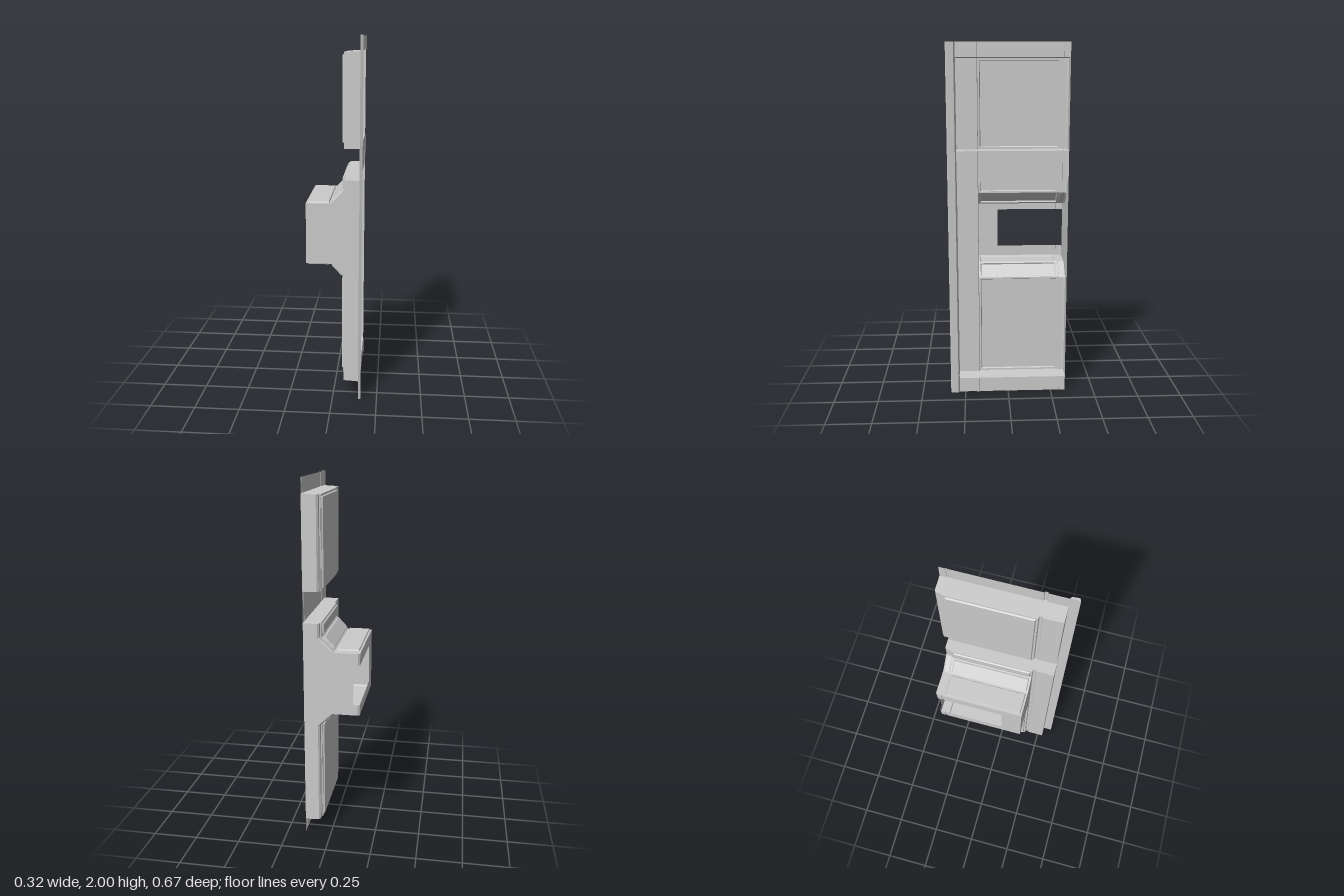
import * as THREE from 'three';

const material = new THREE.MeshStandardMaterial({ color: 0xcccccc, flatShading: true, side: THREE.DoubleSide });
const RIM = 0.145; // x of the mounting plane

// Main pressing outline as [x, y, panel?]; panel marks a raised panel up to the next point
const MAIN = [
  [RIM, 0], [RIM, 0.085], [0.05, 0.09, true], [0.05, 0.67, true], [-0.02, 0.745, true],
  [-0.162, 0.745], [-0.162, 0.805], [-0.162, 1.03], [-0.162, 1.095, true],
  [-0.02, 1.095, true], [0.05, 1.17, true], [0.05, 1.25], [RIM, 1.25],
  [RIM, 1.42], [0.05, 1.42, true], [0.05, 1.915], [RIM, 1.92], [RIM, 2],
];
// Side channel outline
const CHANNEL = [
  [RIM, 0], [RIM, 0.085], [0.06, 0.09], [0.06, 1.25], [RIM, 1.25],
  [RIM, 1.42], [0.06, 1.42], [0.06, 1.915], [RIM, 1.92], [RIM, 2],
];

function addMesh(group, name, geometry) {
  const mesh = new THREE.Mesh(geometry, material);
  mesh.name = name;
  group.add(mesh);
  return mesh;
}

// Adds panel borders to the outline and lifts the panels by h
function withPanels(outline, h) {
  const out = [];
  outline.forEach(([x, y, panel], i) => {
    out.push([x, y]);
    if (!panel) return;
    const [x2, y2] = outline[i + 1];
    const len = Math.hypot(x2 - x, y2 - y);
    const ux = (x2 - x) / len, uy = (y2 - y) / len;
    for (const [d, lift] of [[0.01, 0], [0.014, h], [len - 0.014, h], [len - 0.01, 0]]) {
      out.push([x + ux * d - uy * lift, y + uy * d + ux * lift]);
    }
  });
  return out;
}

// Sheet through outlines placed at successive z; skip leaves openings
function loft(rows, skip = () => false) {
  const pos = [];
  for (let r = 0; r < rows.length - 1; r++) {
    const a = rows[r], b = rows[r + 1];
    for (let i = 0; i < a.pts.length - 1; i++) {
      if (skip(a, b, i)) continue;
      const p = [[a, i], [b, i], [b, i + 1], [a, i + 1]].map(([row, k]) => [...row.pts[k], row.z]);
      for (const k of [0, 1, 2, 0, 2, 3]) pos.push(...p[k]);
    }
  }
  const g = new THREE.BufferGeometry();
  g.setAttribute('position', new THREE.Float32BufferAttribute(pos, 3));
  g.computeVertexNormals();
  return g;
}

const flat = (pts, z) =>
  new THREE.ShapeGeometry(new THREE.Shape(pts.map(([x, y]) => new THREE.Vector2(x, y)))).translate(0, 0, z);
const shifted = (pts, d) => pts.map(([x, y]) => [x + d, y]);
// Back strip: shallower trays, plus the chamfer at the corner
const backStrip = (pts, d) => pts.map(([x, y]) => (x < 0.1 ? [x + d + (x > 0.04 ? 0.008 : 0), y] : [x, y]));

export function createModel() {
  const group = new THREE.Group();
  const plain = withPanels(MAIN, 0), raised = withPanels(MAIN, 0.008);

  // Main pressing: trays, projecting box and raised panels, with a window open to the back
  const rows = [
    { z: -0.335, pts: backStrip(plain, 0.01) },
    { z: -0.326, pts: backStrip(plain, 0) },
    { z: -0.302, pts: backStrip(plain, 0) },
    { z: -0.3, pts: shifted(plain, 0.003) },
    { z: -0.295, pts: shifted(plain, 0.003) },
    { z: -0.293, pts: plain },
    { z: -0.284, pts: plain },
    { z: -0.28, pts: raised },
    { z: 0.05, pts: raised },
    { z: 0.151, pts: raised },
    { z: 0.155, pts: plain },
    { z: 0.165, pts: plain },
  ];
  const inWindow = (a, b, i) =>
    b.z <= 0.051 && a.pts[i][0] < -0.13 && a.pts[i][1] === 0.805 && a.pts[i + 1][1] === 1.03;
  addMesh(group, 'mainPressing', loft(rows, inWindow));

  // Back walls, notched at the window
  const back = backStrip(MAIN, 0.01);
  const notched = [...back.slice(1, 7), [-0.127, 0.805], [-0.127, 1.03], ...back.slice(7, 13)];
  addMesh(group, 'lowerBackWall', flat(notched, -0.335));
  addMesh(group, 'upperBackWall', flat(back.slice(13, 17), -0.335));

  // Walls where the pressing meets the side channel
  addMesh(group, 'boxSideWall', flat([...MAIN.slice(2, 12), [0.06, 1.25], [0.06, 0.09]], 0.165));
  addMesh(group, 'upperTrayStep', flat([[0.05, 1.42], [0.06, 1.42], [0.06, 1.915], [0.05, 1.915]], 0.165));

  // Side channel with a bead along the pressing
  const bead = shifted(CHANNEL, 0.006);
  addMesh(group, 'sideChannel', loft([
    { z: 0.165, pts: CHANNEL }, { z: 0.168, pts: bead }, { z: 0.182, pts: bead },
    { z: 0.185, pts: CHANNEL }, { z: 0.285, pts: CHANNEL },
  ]));
  addMesh(group, 'lowerChannelWall', flat(CHANNEL.slice(1, 5), 0.285));
  addMesh(group, 'upperChannelWall', flat(CHANNEL.slice(5, 9), 0.285));

  // Full-height front lip
  const lip = new THREE.Shape([[RIM, 0.284], [0.156, 0.291], [0.16, 0.327], [RIM, 0.335]]
    .map(([x, z]) => new THREE.Vector2(x, -z)));
  const lipGeometry = new THREE.ExtrudeGeometry(lip, { depth: 2, bevelEnabled: false });
  addMesh(group, 'frontLip', lipGeometry.rotateX(-Math.PI / 2));

  return group;
}
